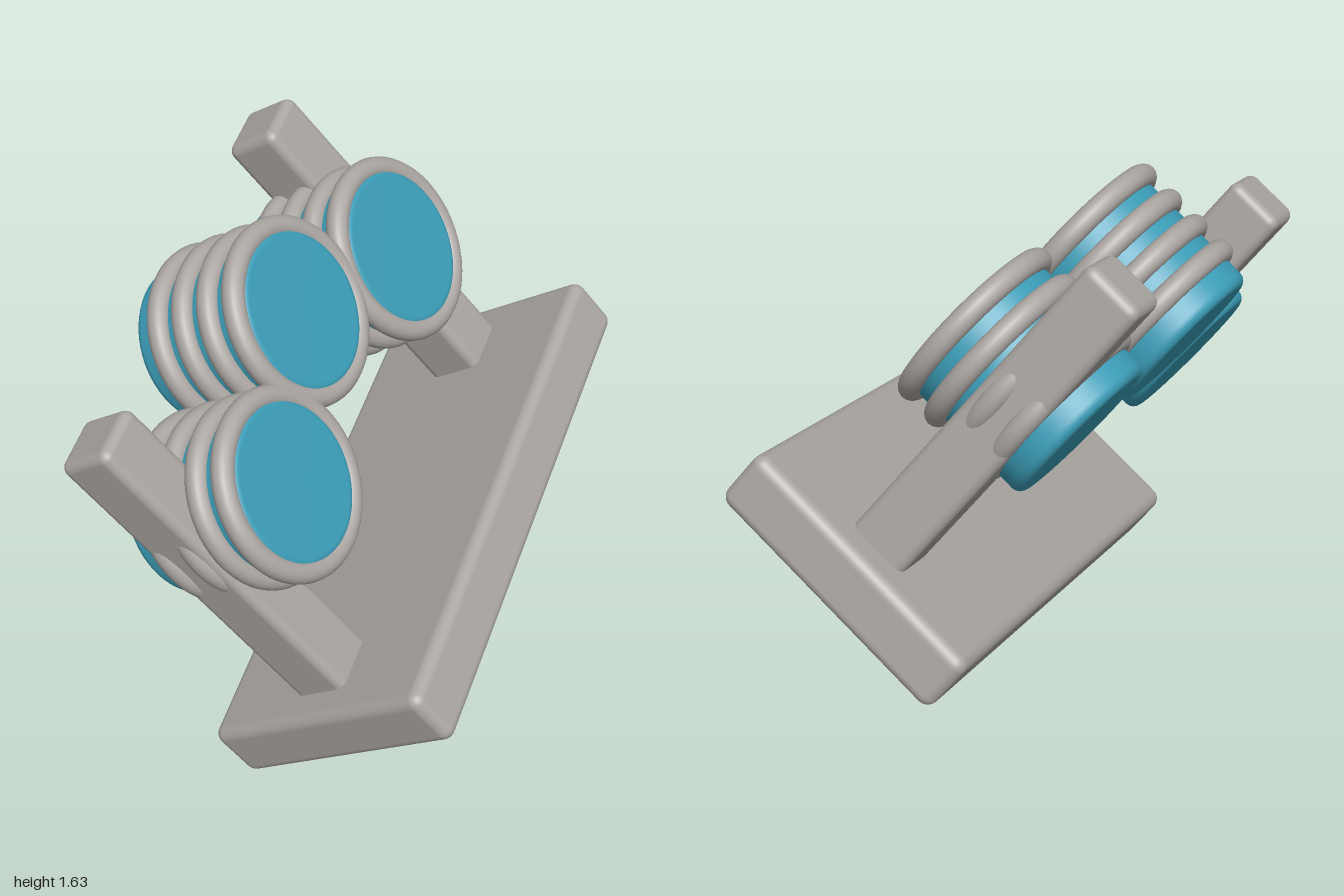
import * as THREE from 'three';
import { RoundedBoxGeometry } from 'three/addons/geometries/RoundedBoxGeometry.js';

const grey = new THREE.MeshStandardMaterial({ color: 0xaaa5a1 });
grey.name = 'warm grey';
const blue = new THREE.MeshStandardMaterial({ color: 0x3a9bb5 });
blue.name = 'teal blue';

function add(parent, name, geometry, material, x, y, z) {
  const mesh = new THREE.Mesh(geometry, material);
  mesh.name = name;
  mesh.position.set(x, y, z);
  parent.add(mesh);
  return mesh;
}

// Solid drum along z with filleted rims
function drumGeometry(radius, back, front, fillet) {
  const points = [new THREE.Vector2(0, back)];
  const steps = 6;
  for (let i = 0; i <= steps; i++) {
    const a = (i / steps) * Math.PI / 2;
    points.push(new THREE.Vector2(radius - fillet + fillet * Math.sin(a), back + fillet - fillet * Math.cos(a)));
  }
  for (let i = 0; i <= steps; i++) {
    const a = (i / steps) * Math.PI / 2;
    points.push(new THREE.Vector2(radius - fillet + fillet * Math.cos(a), front - fillet + fillet * Math.sin(a)));
  }
  points.push(new THREE.Vector2(0, front));
  return new THREE.LatheGeometry(points, 64).rotateX(Math.PI / 2);
}

export function createModel() {
  const model = new THREE.Group();
  model.name = 'model';

  // Everything is built upright, then tilted as one piece
  const stand = new THREE.Group();
  stand.name = 'tiltedStand';
  model.add(stand);

  // Base slab
  add(stand, 'base', new RoundedBoxGeometry(1.67, 0.197, 0.83, 4, 0.036), grey, 0, 0, 0);

  // Two square posts
  const bottom = 0.05, top = 1.155;
  const post = new RoundedBoxGeometry(0.192, top - bottom, 0.192, 4, 0.03);
  for (const [side, name] of [[1, 'leftPost'], [-1, 'rightPost']]) {
    add(stand, name, post, grey, side * 0.64, (top + bottom) / 2, 0);
  }

  // Three drums, each with four rings
  const drum = drumGeometry(0.246, -0.175, 0.28, 0.03);
  const ring = new THREE.TorusGeometry(0.252, 0.034, 16, 64);
  const places = [['left', 0.47, 0.675], ['middle', 0, 0.895], ['right', -0.47, 0.675]];
  for (const [name, x, y] of places) {
    const barrel = new THREE.Group();
    barrel.name = name + 'Barrel';
    barrel.position.set(x, y, 0);
    stand.add(barrel);
    add(barrel, 'drum', drum, blue, 0, 0, 0);
    for (let i = 0; i < 4; i++) add(barrel, 'ring', ring, grey, 0, 0, 0.25 - i * 0.104);
  }

  // Tilt: side, up and front axes of the stand
  const side = new THREE.Vector3(0.798, 0.252, -0.546).normalize();
  const front = new THREE.Vector3(0.343, 0.552, 0.76);
  front.addScaledVector(side, -front.dot(side)).normalize();
  const up = new THREE.Vector3().crossVectors(front, side);
  stand.quaternion.setFromRotationMatrix(new THREE.Matrix4().makeBasis(side, up, front));
  stand.position.set(0.165, 0.497, 0.048);
  return model;
}
